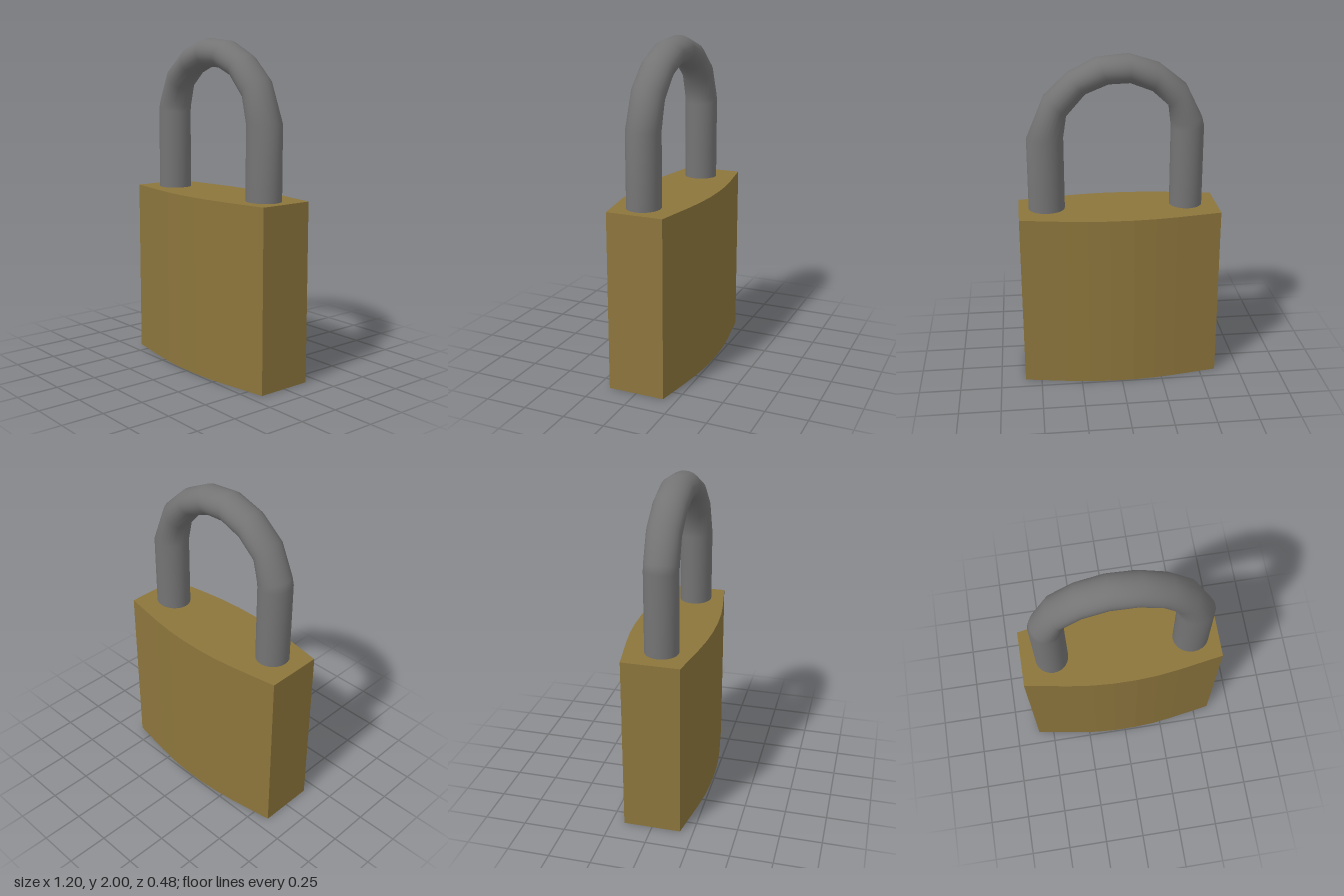
import * as THREE from 'three';

const brass = new THREE.MeshStandardMaterial({ name: 'brass', color: 0x8c753c });
const steel = new THREE.MeshStandardMaterial({ name: 'steel', color: 0x747474 });

// Lofts oval rings, each given by its outer and inner edge: [outerX, outerY, innerX, innerY]
function loftRings(rings, zRadius, zCentre, sides) {
  const positions = [], indices = [];
  rings.forEach(([ox, oy, ix, iy], i) => {
    for (let j = 0; j < sides; j++) {
      const a = (j / sides) * Math.PI * 2, c = Math.cos(a) / 2;
      positions.push(
        (ox + ix) / 2 + (ox - ix) * c,
        (oy + iy) / 2 + (oy - iy) * c,
        zCentre + Math.sin(a) * zRadius
      );
      if (i === 0) continue;
      const k = (j + 1) % sides, lo = (i - 1) * sides, hi = i * sides;
      indices.push(lo + j, lo + k, hi + k, lo + j, hi + k, hi + j);
    }
  });
  const geometry = new THREE.BufferGeometry();
  geometry.setAttribute('position', new THREE.Float32BufferAttribute(positions, 3));
  geometry.setIndex(indices);
  geometry.computeVertexNormals();
  return geometry;
}

export function createModel() {
  const model = new THREE.Group();
  model.name = 'padlock';

  // Body: a block with bowed front and back faces
  const bow = [[0.6, 0.172], [0.33, 0.217], [0.2, 0.234], [0.07, 0.242]];
  const front = [...bow, ...bow.map(([x, z]) => [-x, z]).reverse()];
  const back = front.map(([x, z]) => [-x, -z]);
  const outline = new THREE.Shape([...front, ...back].map(([x, z]) => new THREE.Vector2(x, z)));
  const bodyGeometry = new THREE.ExtrudeGeometry(outline, { depth: 1.075, bevelEnabled: false });
  bodyGeometry.rotateX(-Math.PI / 2);
  const body = new THREE.Mesh(bodyGeometry, brass);
  body.name = 'body';
  model.add(body);

  // Shackle: a slightly uneven bent bar sunk into the body
  const rings = [
    [-0.513, 1.0, -0.315, 1.0],
    [-0.513, 1.57, -0.315, 1.55],
    [-0.5, 1.62, -0.313, 1.58],
    [-0.4, 1.82, -0.3, 1.69],
    [-0.242, 1.945, -0.2, 1.78],
    [-0.065, 2.0, -0.07, 1.83],
    [0.125, 1.982, 0.055, 1.826],
    [0.29, 1.9, 0.19, 1.772],
    [0.432, 1.768, 0.302, 1.645],
    [0.54, 1.515, 0.322, 1.515],
    [0.54, 1.0, 0.322, 1.0],
  ];
  const shackle = new THREE.Mesh(loftRings(rings, 0.1, 0.018, 24), steel);
  shackle.name = 'shackle';
  model.add(shackle);

  return model;
}
